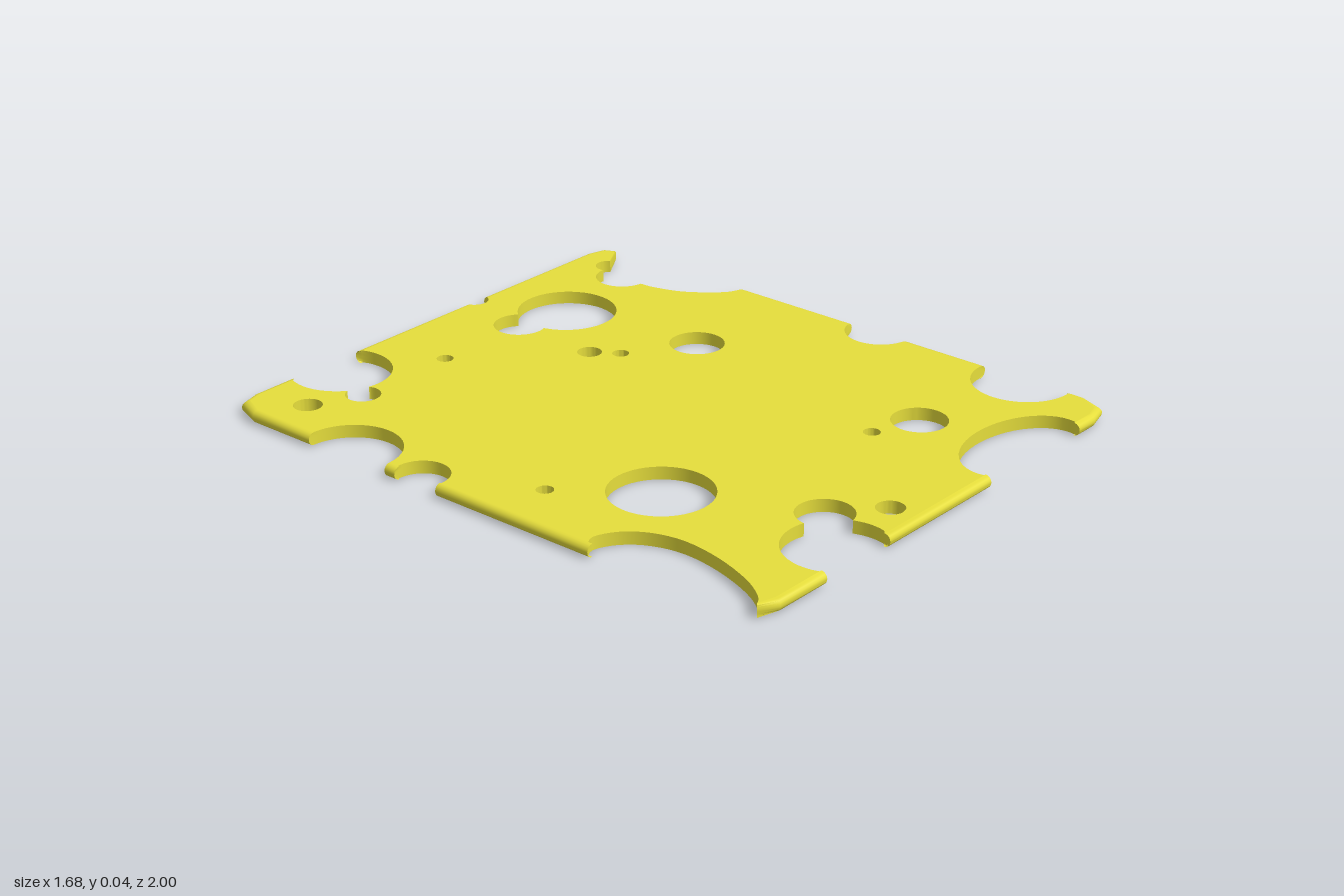
import * as THREE from 'three';
import { toCreasedNormals } from 'three/addons/utils/BufferGeometryUtils.js';

const HALF_X = 0.84, HALF_Z = 1, HALF_T = 0.02, ROUND = 0.02;
const v = (x, z) => new THREE.Vector2(x, z);

// Arc of an ellipse from the direction of point a to that of point b, with rising angle
function arc(cx, cz, rx, rz, a, b) {
  const angle = ([x, z]) => Math.atan2((z - cz) / rz, (x - cx) / rx);
  const start = angle(a);
  let sweep = angle(b) - start;
  if (sweep <= 0) sweep += Math.PI * 2;
  const n = Math.max(8, Math.ceil(sweep * 7));
  return Array.from({ length: n + 1 }, (_, i) => {
    const t = start + (sweep * i) / n;
    return v(cx + rx * Math.cos(t), cz + rz * Math.sin(t));
  });
}
const round = (cx, cz, r, a, b) => arc(cx, cz, r, r, a, b);
const line = (...pts) => pts.map(([x, z]) => v(x, z));
const curve = (...pts) => new THREE.SplineCurve(line(...pts)).getPoints(32);
const clean = (pts) => pts.filter((p, i) => p.distanceTo(pts[(i + 1) % pts.length]) > 1e-4);

// Circular bite that cuts a side (x fixed) or an end (z fixed) of the slice
function sideBite(cx, cz, r, side) {
  const x = side * HALF_X, h = Math.sqrt(r * r - (x - cx) ** 2);
  return round(cx, cz, r, [x, cz + side * h], [x, cz - side * h]);
}

function outline() {
  return clean([
    // left side, back to front
    ...line([-0.74, -1], [-0.81, -0.98], [-0.84, -0.9]),
    ...sideBite(-0.826, -0.505, 0.156, -1),
    ...sideBite(-0.813, -0.23, 0.085, -1),
    ...curve([-0.84, 0.42], [-0.79, 0.395], [-0.72, 0.43], [-0.67, 0.5], [-0.648, 0.6],
      [-0.665, 0.73], [-0.71, 0.86], [-0.76, 0.94], [-0.8, 0.97]),
    // front end
    ...line([-0.74, 1]),
    ...round(-0.404, 0.927, 0.157, [-0.543, 1], [-0.358, 0.777]),
    ...round(-0.272, 0.783, 0.086, [-0.358, 0.777], [-0.258, 0.868]),
    ...round(-0.404, 0.927, 0.157, [-0.258, 0.868], [-0.265, 1]),
    ...arc(0.435, 0.955, 0.235, 0.155, [0.21, 1], [0.66, 1]),
    // right side, front to back
    ...line([0.74, 1], [0.81, 0.98], [0.84, 0.9]),
    ...sideBite(0.813, 0.695, 0.157, 1),
    ...sideBite(0.838, 0.14, 0.108, 1),
    ...curve([0.84, -0.4], [0.77, -0.43], [0.69, -0.53], [0.655, -0.63], [0.65, -0.683]),
    ...round(0.657, -0.768, 0.086, [0.65, -0.683], [0.66, -0.854]),
    ...round(0.7, -0.865, 0.043, [0.658, -0.857], [0.735, -0.89]),
    // back end
    ...line([0.82, -0.94], [0.81, -0.98], [0.74, -1]),
    ...round(0.204, -0.998, 0.043, [0.247, -1], [0.161, -1]),
    ...round(-0.46, -0.922, 0.157, [-0.324, -1], [-0.492, -0.768]),
    ...round(-0.54, -0.744, 0.054, [-0.492, -0.768], [-0.554, -0.796]),
    ...round(-0.46, -0.922, 0.157, [-0.554, -0.796], [-0.596, -1]),
  ]);
}

function holes() {
  const circles = [
    [-0.7, -0.812, 0.044], [-0.193, -0.743, 0.026], [0.13, -0.44, 0.038], [0.184, -0.36, 0.026],
    [0.396, -0.232, 0.086], [-0.662, 0.103, 0.026], [-0.46, 0.355, 0.156], [0.228, 0.568, 0.026],
    [0.384, 0.625, 0.086], [-0.13, 0.9, 0.043],
  ].map(([x, z, r]) => clean(round(x, z, r, [x + r, z], [x + r, z])));
  // two bubbles run together
  const p = [0.204, -0.81], q = [0.176, -0.673];
  const double = clean([...round(0.328, -0.713, 0.157, p, q), ...round(0.148, -0.75, 0.082, q, p)]);
  return [...circles, double].map((pts) => new THREE.Path(pts));
}

// Border planes of the slice: sides, ends and two facets per corner
function borderPlanes() {
  const planes = [];
  const add = (nx, nz, px, pz) => {
    const n = v(nx, nz).normalize();
    planes.push({ n, d: n.x * px + n.y * pz });
  };
  for (const s of [-1, 1]) {
    add(s, 0, s * HALF_X, 0);
    add(0, s, 0, s * HALF_Z);
    for (const e of [-1, 1]) {
      add(s * 0.08, e * 0.03, s * 0.84, e * 0.9);
      add(s * 0.02, e * 0.07, s * 0.74, e * 1);
    }
  }
  return planes;
}

export function createModel() {
  const shape = new THREE.Shape(outline());
  shape.holes = holes();
  let geo = new THREE.ExtrudeGeometry(shape, { depth: 1, steps: 8, bevelEnabled: false });
  geo.rotateX(Math.PI / 2).translate(0, 1, 0);

  // Round only the outer border: pull vertices inside inset planes, layer by layer
  const planes = borderPlanes();
  const pos = geo.attributes.position;
  for (let i = 0; i < pos.count; i++) {
    const t = (pos.getY(i) - 0.5) * Math.PI;
    const inset = ROUND * (1 - Math.cos(t));
    const p = v(pos.getX(i), pos.getZ(i));
    for (const { n, d } of planes) {
      const over = p.dot(n) - (d - inset);
      if (over > 0) p.addScaledVector(n, -over);
    }
    pos.setXYZ(i, p.x, HALF_T * (1 + Math.sin(t)), p.y);
  }
  geo = toCreasedNormals(geo, 0.7);

  // Keep the flat faces evenly shaded
  const { position, normal } = geo.attributes;
  for (let i = 0; i < position.count; i += 3) {
    const ys = [0, 1, 2].map((k) => position.getY(i + k));
    if (Math.max(...ys) - Math.min(...ys) > 1e-5) continue;
    for (let k = 0; k < 3; k++) normal.setXYZ(i + k, 0, ys[0] > HALF_T ? 1 : -1, 0);
  }

  const slice = new THREE.Mesh(geo, new THREE.MeshStandardMaterial({ color: 0xe6de3c }));
  slice.name = 'cheeseSlice';
  const group = new THREE.Group();
  group.name = 'cheese';
  group.add(slice);
  return group;
}
